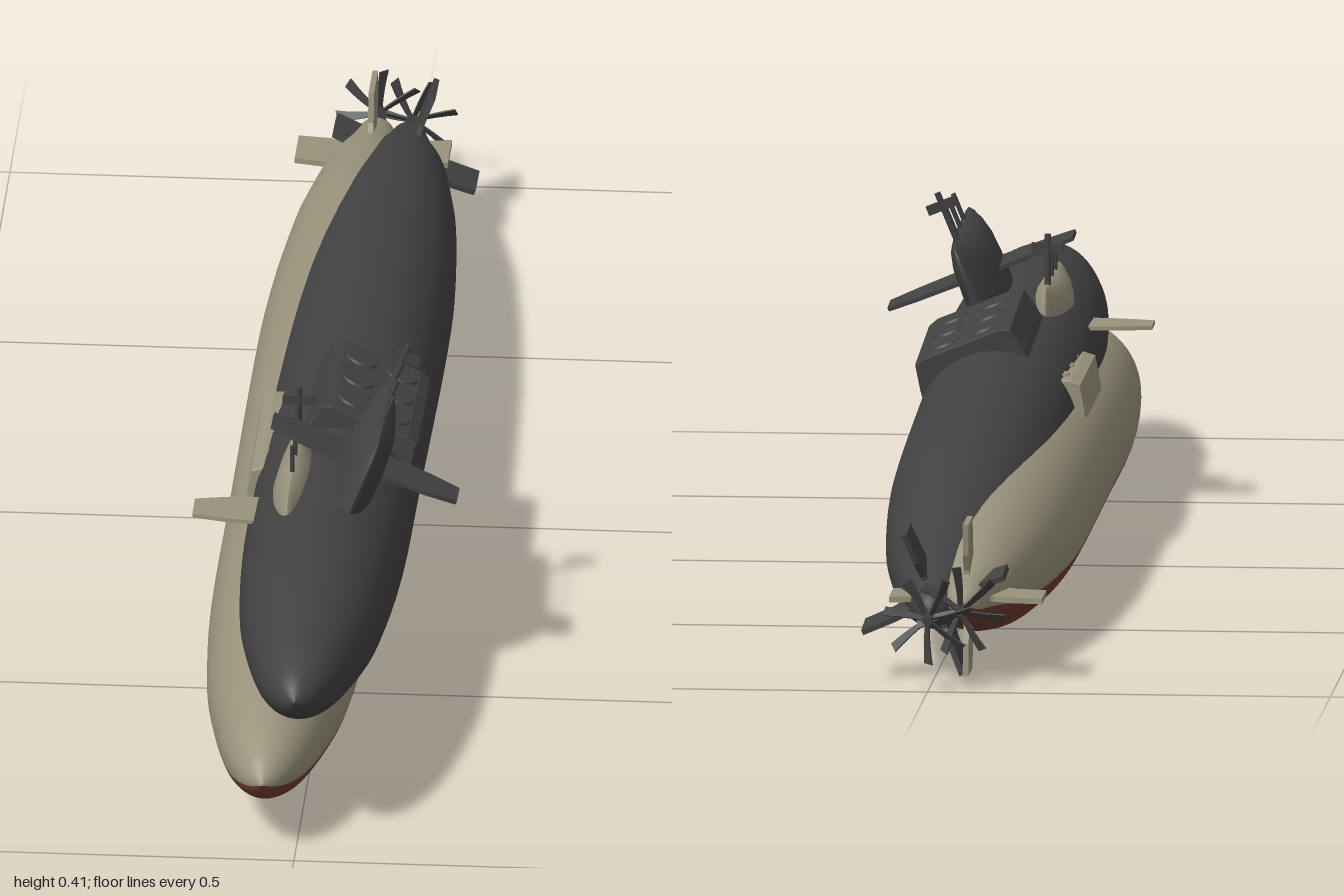
import * as THREE from 'three';

const material = (name, color, side = THREE.FrontSide) => {
  const m = new THREE.MeshStandardMaterial({ color, side });
  m.name = name;
  return m;
};

// Thin plate from [across, along z] corners, lying flat at y = 0
function plate(corners, thickness) {
  const shape = new THREE.Shape(corners.map(([x, z]) => new THREE.Vector2(x, z)));
  const g = new THREE.ExtrudeGeometry(shape, { depth: thickness, bevelEnabled: false });
  return g.translate(0, 0, -thickness / 2).rotateX(Math.PI / 2);
}

// Lathed hull along z; phi = 0 is the keel
function hullGeometry(phiStart, phiLength, segments) {
  const ends = [[0, -0.948], [0.012, -0.945], [0.022, -0.93]];
  const curve = new THREE.SplineCurve([
    [0.022, -0.93], [0.036, -0.87], [0.055, -0.8], [0.071, -0.7], [0.083, -0.6], [0.096, -0.4],
    [0.1, -0.2], [0.1, 0.2], [0.1, 0.5], [0.09, 0.7], [0.077, 0.8], [0.057, 0.9],
    [0.038, 0.955], [0.02, 0.985], [0, 1],
  ].map(([r, z]) => new THREE.Vector2(r, z)));
  const profile = [...ends.slice(0, 2).map(([r, z]) => new THREE.Vector2(r, z)), ...curve.getPoints(56)];
  profile.forEach((p) => { p.x = Math.max(p.x, 0); });
  return new THREE.LatheGeometry(profile, segments, phiStart, phiLength).rotateX(Math.PI / 2);
}

// Streamlined tower lofted from leaf-shaped sections
function sailGeometry() {
  const rows = [[0.06, 1, 1], [0.12, 1, 1.04], [0.155, 0.985, 0.95], [0.172, 0.965, 0.76],
    [0.184, 0.92, 0.46], [0.19, 0.84, 0.2], [0.192, 0.7, 0]];
  const n = 32, pos = [], index = [];
  rows.forEach(([y, len, wide], r) => {
    for (let i = 0; i <= n; i++) {
      const a = (i / n) * Math.PI * 2, c = Math.cos(a);
      const x = 0.027 * wide * Math.sin(a) * (c < 0 ? 1 + 0.25 * c : 1);
      pos.push(x, y, 0.445 + 0.136 * len * c);
      if (r && i < n) {
        const k = r * (n + 1) + i, b = k - n - 1;
        index.push(b, b + 1, k, b + 1, k + 1, k);
      }
    }
  });
  const g = new THREE.BufferGeometry();
  g.setAttribute('position', new THREE.Float32BufferAttribute(pos, 3));
  g.setIndex(index);
  g.computeVertexNormals();
  return g;
}

function buildSubmarine(name, paint, keelPaint, dark) {
  const sub = new THREE.Group();
  sub.name = name;
  const add = (label, geometry, mat, parent = sub) => {
    const mesh = new THREE.Mesh(geometry, mat);
    mesh.name = label;
    parent.add(mesh);
    return mesh;
  };

  // Hull, split along the painted waterline
  const half = THREE.MathUtils.degToRad(70);
  add('lowerHull', hullGeometry(-half, half * 2, 24), keelPaint);
  add('upperHull', hullGeometry(half, Math.PI * 2 - half * 2, 36), paint);

  // Sail and its diving planes
  add('sail', sailGeometry(), paint);
  for (const s of [-1, 1]) {
    const corners = [[0, 0.428], [0.085, 0.432], [0.124, 0.44], [0.124, 0.485], [0.085, 0.495], [0, 0.505]];
    const plane = add('sailPlane', plate(corners.map(([x, z]) => [x * s, z]), 0.005), paint);
    plane.position.y = 0.127;
  }

  // Masts and periscopes
  const masts = new THREE.Group();
  masts.name = 'masts';
  sub.add(masts);
  for (const [z, top, r] of [[0.485, 0.226, 0.003], [0.435, 0.228, 0.003], [0.387, 0.236, 0.003], [0.372, 0.254, 0.004]]) {
    add('mast', new THREE.CylinderGeometry(r, r, top - 0.17, 10).translate(0, (top + 0.17) / 2, z), dark, masts);
  }
  add('mastCrossbar', new THREE.BoxGeometry(0.04, 0.012, 0.006).translate(0, 0.237, 0.372), dark, masts);

  // Missile deck housing behind the sail
  const section = new THREE.Shape([[-0.072, 0.045], [0.072, 0.045], [0.068, 0.08], [0.062, 0.111],
    [0.05, 0.115], [-0.05, 0.115], [-0.062, 0.111], [-0.068, 0.08]].map(([x, y]) => new THREE.Vector2(x, y)));
  const housing = new THREE.ExtrudeGeometry(section, {
    depth: 0.222, bevelSize: 0.002, bevelThickness: 0.004, bevelSegments: 1,
  });
  add('deckHousing', housing.translate(0, 0, 0.09), paint);
  for (const x of [-0.027, 0.027]) {
    for (const z of [0.13, 0.2, 0.27]) {
      add('deckHatch', new THREE.CylinderGeometry(0.019, 0.021, 0.003, 20).translate(x, 0.118, z), paint);
    }
  }

  // Four tail fins
  for (let i = 0; i < 4; i++) {
    const corners = [[0.01, -0.79], [0.035, -0.815], [0.058, -0.835], [0.095, -0.843],
      [0.095, -0.91], [0.055, -0.905], [0.035, -0.895], [0.01, -0.895]];
    const fin = add('tailFin', plate(corners.reverse(), 0.007), paint);
    fin.rotation.z = (i * Math.PI) / 2;
  }

  // Propeller
  const propeller = new THREE.Group();
  propeller.name = 'propeller';
  propeller.position.z = -0.992;
  sub.add(propeller);
  add('propellerHub', new THREE.CylinderGeometry(0.009, 0.006, 0.014, 14).rotateX(Math.PI / 2), dark, propeller);
  for (let i = 0; i < 7; i++) {
    const g = new THREE.BoxGeometry(0.012, 0.05, 0.002, 1, 4, 1);
    const p = g.attributes.position;
    for (let k = 0; k < p.count; k++) {
      const t = p.getY(k) / 0.05 + 0.5;
      const w = p.getX(k) * (0.5 + 0.6 * t);
      p.setX(k, w + 0.006 * t * t);
    }
    g.rotateY(0.7).translate(0, 0.03, 0).rotateZ((i * Math.PI * 2) / 7);
    g.computeVertexNormals();
    add('propellerBlade', g, dark, propeller);
  }
  return sub;
}

export function createModel() {
  const charcoal = material('charcoal', 0x424242);
  const beige = material('beige', 0x99937c);
  const red = material('antifoulingRed', 0x713c33);
  // The sail and its top are closed, but keep thin tips visible
  const model = new THREE.Group();
  model.name = 'submarines';

  // Level painted boat
  const level = buildSubmarine('paintedSubmarine', beige, red, charcoal);
  level.position.set(-0.04, 0.1, 0);
  model.add(level);

  // Dark boat, nose up and rolled to its left
  const tilted = buildSubmarine('darkSubmarine', charcoal, charcoal, charcoal);
  tilted.position.set(0, 0.1495, -0.006);
  tilted.rotation.set(-0.061, 0, -0.385);
  model.add(tilted);
  return model;
}
